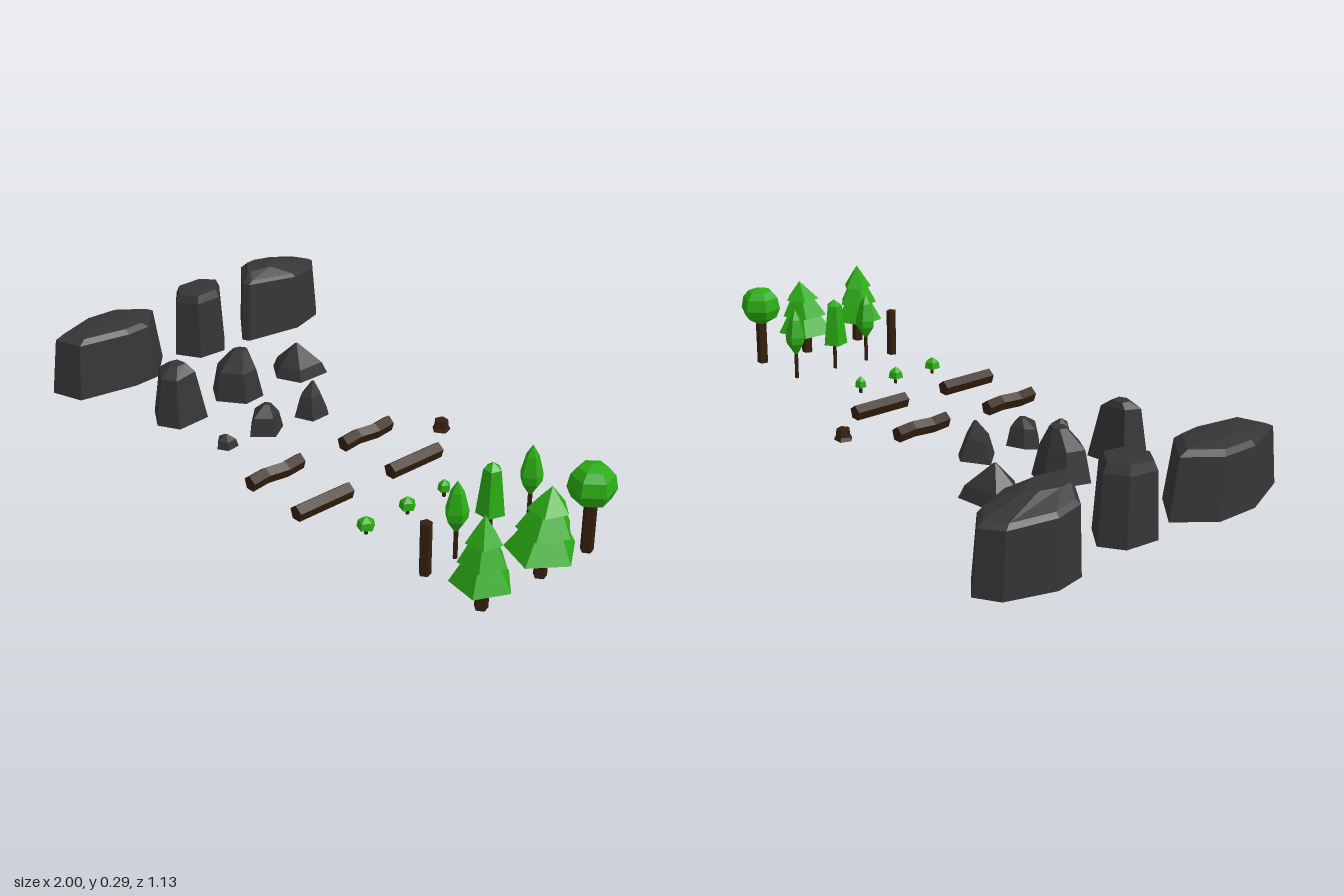
import * as THREE from 'three';

const material = (name, color) => {
  const m = new THREE.MeshStandardMaterial({ color, flatShading: true });
  m.name = name;
  return m;
};

export function createModel() {
  const stone = material('dark stone', 0x353535);
  const leaf = material('leaf green', 0x2bac14);
  const bark = material('dark bark', 0x341f0d);
  const model = new THREE.Group();
  model.name = 'forestSceneryKit';

  const add = (parent, name, geometry, mat, x = 0, y = 0, z = 0) => {
    const mesh = new THREE.Mesh(geometry, mat);
    mesh.name = name;
    mesh.position.set(x, y, z);
    parent.add(mesh);
    return mesh;
  };
  const group = (name, x, z) => {
    const g = new THREE.Group();
    g.name = name;
    g.position.set(x, 0, z);
    model.add(g);
    return g;
  };

  // Closed faceted solid from stacked copies of an outline of [x, z] points.
  // Each layer: [y, scale, centreX, centreZ, slopeX, slopeZ]
  const rock = (name, outline, layers) => {
    const n = outline.length;
    const mid = [0, 1].map(k => outline.reduce((s, p) => s + p[k], 0) / n);
    const rings = layers.map(([y, s, cx = mid[0], cz = mid[1], tx = 0, tz = 0]) =>
      outline.map(p => {
        const dx = (p[0] - mid[0]) * s, dz = (p[1] - mid[1]) * s;
        return [cx + dx, y + dx * tx + dz * tz, cz + dz];
      }));
    const centre = ring => [0, 1, 2].map(k => ring.reduce((s, p) => s + p[k], 0) / n);
    const low = rings[0], high = rings[rings.length - 1];
    const lowMid = centre(low), highMid = centre(high);
    const v = [];
    for (let i = 0; i < n; i++) {
      const j = (i + 1) % n;
      for (let r = 0; r + 1 < rings.length; r++) {
        const a = rings[r], b = rings[r + 1];
        v.push(...a[i], ...b[i], ...a[j], ...a[j], ...b[i], ...b[j]);
      }
      v.push(...highMid, ...high[j], ...high[i], ...lowMid, ...low[i], ...low[j]);
    }
    const g = new THREE.BufferGeometry();
    g.setAttribute('position', new THREE.Float32BufferAttribute(v, 3));
    g.computeVertexNormals();
    add(model, name, g, stone);
  };

  // Cliffs
  rock('backCliff',
    [[-.775, -.385], [-.8, -.18], [-.825, -.167], [-.98, -.275], [-.998, -.37], [-.955, -.52], [-.888, -.565], [-.82, -.51]],
    [[0, 1], [.2, .92, -.882, -.372, 0, .07], [.212, .82, -.88, -.37, 0, .07], [.243, .4, -.88, -.308]]);
  rock('middleCliff',
    [[-.797, -.065], [-.8, .035], [-.882, .085], [-.957, .03], [-.947, -.08], [-.882, -.128]],
    [[0, 1], [.205, .88, -.876, -.02, 0, -.05], [.232, .75, -.876, -.02, 0, -.07], [.235, .5, -.88, -.02, 0, -.05]]);
  rock('frontCliff',
    [[-.77, .325], [-.8, .525], [-.91, .565], [-.985, .39], [-.985, .245], [-.9, .13], [-.78, .23]],
    [[0, 1], [.188, .87, -.878, .345], [.203, .73, -.88, .345], [.213, .32, -.885, .325]]);

  // Boulders
  rock('backBoulder',
    [[-.42, -.23], [-.417, -.11], [-.5, -.07], [-.583, -.12], [-.565, -.208]],
    [[0, 1], [.04, .82, -.495, -.148], [.112, .05, -.49, -.152]]);
  rock('middleBoulder',
    [[-.428, .043], [-.417, .123], [-.5, .187], [-.583, .14], [-.56, .064], [-.497, .027]],
    [[0, 1], [.1, .76, -.495, .1], [.165, .28, -.492, .085, .1]]);
  rock('frontBoulder',
    [[-.428, .272], [-.417, .39], [-.487, .43], [-.578, .38], [-.56, .294]],
    [[0, 1], [.165, .66, -.495, .35, -.1, -.1], [.19, .3, -.5, .335]]);

  // Small stones
  rock('backStone',
    [[-.182, -.037], [-.177, .033], [-.24, .06], [-.305, -.01], [-.225, -.065]],
    [[0, 1], [.07, .6, -.228, 0, .25], [.118, .08, -.222, -.005]]);
  rock('middleStone',
    [[-.22, .123], [-.177, .187], [-.23, .25], [-.305, .187], [-.275, .15]],
    [[0, 1], [.06, .75, -.238, .18], [.09, .2, -.24, .17]]);
  rock('frontStone',
    [[-.21, .31], [-.203, .355], [-.235, .374], [-.273, .345], [-.25, .315]],
    [[0, 1], [.025, .8], [.04, .2]]);

  // Fallen logs, the left pair of columns slightly crooked
  for (const [x, bend] of [[.022, .005], [.246, 0]]) {
    for (const z of [-.021, .344]) {
      const g = new THREE.CylinderGeometry(.026, .026, .203, 5, 3);
      const p = g.attributes.position;
      for (let i = 0; i < p.count; i++) p.setX(i, p.getX(i) + bend * Math.sin(p.getY(i) * 45));
      g.rotateX(-Math.PI / 2);
      add(model, 'log', g, bark, x, .0215, z);
    }
  }

  // Upright parts
  const trunk = (parent, name, radius, height, foot = radius) =>
    add(parent, name, new THREE.CylinderGeometry(radius, foot, height, 5), bark, 0, height / 2, 0);
  const foliage = (parent, name, profile, sides = 5, turn = 0) =>
    add(parent, name, new THREE.LatheGeometry(
      profile.map(([r, y]) => new THREE.Vector2(r, y)), sides, turn), leaf);

  // Stump and bare post
  const stump = group('stump', .133, -.245);
  trunk(stump, 'stumpFoot', .025, .012, .031);
  trunk(stump, 'stumpTop', .022, .036, .026);
  trunk(group('post', .685, .35), 'postTrunk', .018, .165);

  // Bushes
  for (const [z, r] of [[.032, .02], [.18, .026], [.34, .028]]) {
    const bush = group('bush', .432, z);
    trunk(bush, 'bushStem', .006, .024);
    foliage(bush, 'bushLeaves', [[0, .014], [r, .022], [r * .85, .044], [0, .06]], 5, Math.PI / 2);
  }

  // Slender trees
  const spindle = [[0, .08], [.033, .13], [.035, .155], [.02, .215], [0, .25]];
  const column = [[0, .085], [.044, .095], [.027, .235], [0, .256]];
  for (const [z, profile, turn] of [[-.062, spindle, 1.2], [.1, column, 1.9], [.235, spindle, 0]]) {
    const tree = group('slenderTree', .685, z);
    trunk(tree, 'slenderTrunk', .007, .1);
    foliage(tree, 'slenderLeaves', profile, 5, turn);
  }

  // Conifers: three overlapping skirts, optionally leaning
  const conifer = (x, z, width, height, lean, turn) => {
    const tree = group('conifer', x, z);
    trunk(tree, 'coniferTrunk', .02, .1);
    const tiers = [[.083, .15, 1, .58], [.148, .21, .78, .42], [.208, height, .58, 0]];
    tiers.forEach(([y0, y1, r0, r1], i) => {
      const skirt = foliage(tree, 'coniferSkirt',
        [[0, y0 + .008], [r0 * width, y0], [r1 * width, y1], [0, y1]], 5, turn + i * .12);
      const p = skirt.geometry.attributes.position;
      for (let k = 0; k < p.count; k++) p.setZ(k, p.getZ(k) + lean * (p.getY(k) - .083) / .2);
    });
  };
  conifer(.894, .345, .089, .288, 0, .5);
  conifer(.896, .12, .104, .274, -.028, Math.PI / 2);

  // Round-crowned tree
  const round = group('roundTree', .898, -.07);
  trunk(round, 'roundTrunk', .02, .16);
  foliage(round, 'roundCrown',
    [[0, .138], [.056, .172], [.07, .205], [.062, .245], [.042, .268], [0, .28]], 6, .25);

  return model;
}
